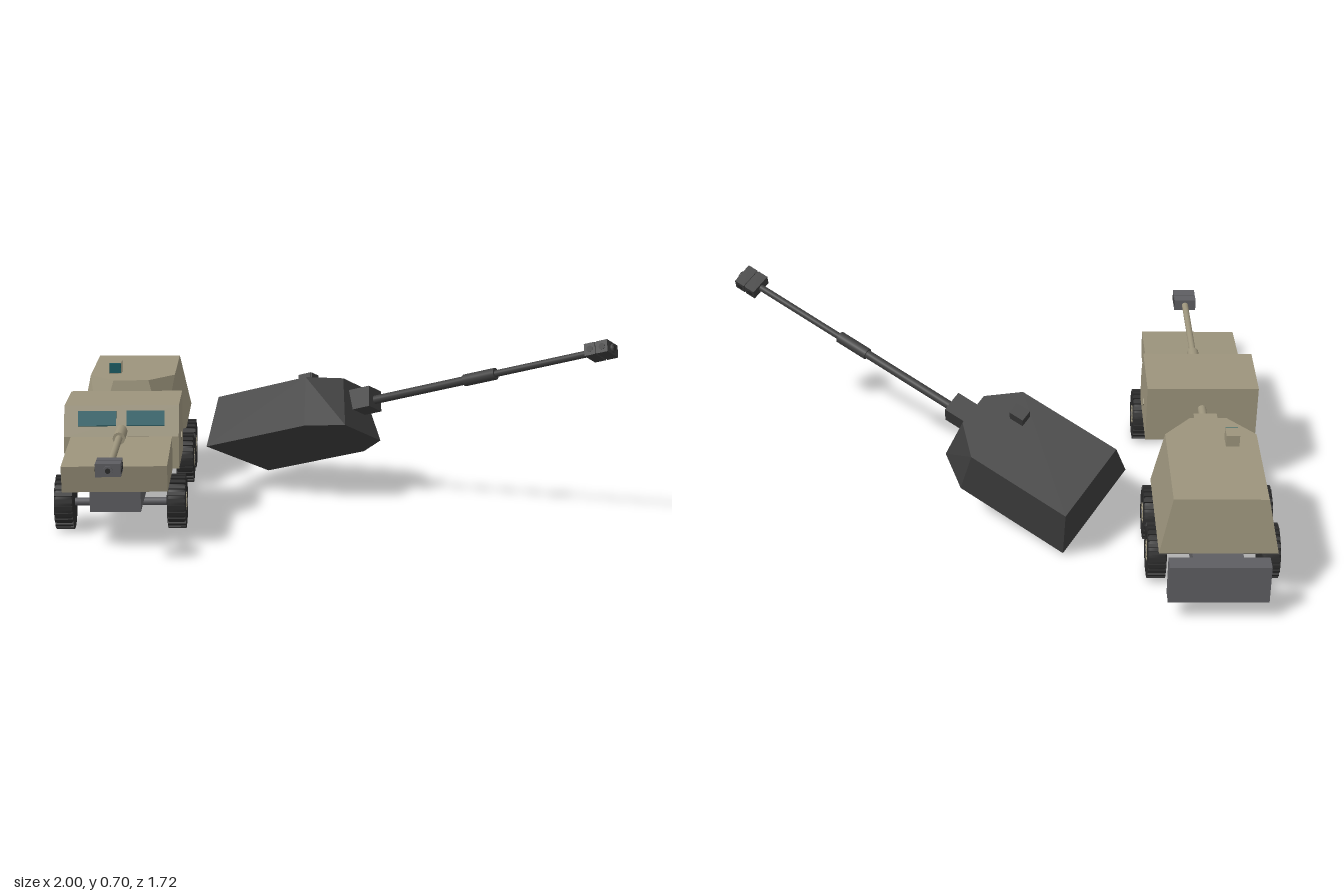
import * as THREE from 'three';
import { ConvexGeometry } from 'three/addons/geometries/ConvexGeometry.js';

const mat = (name, color, extra = {}) => {
  const m = new THREE.MeshStandardMaterial({ color, ...extra });
  m.name = name;
  return m;
};

export function createModel() {
  const tan = mat('tan paint', 0x9c947c);
  const steel = mat('grey steel', 0x5e5e62);
  const charred = mat('charred metal', 0x3e3e3e);
  const rubber = mat('black rubber', 0x2b2b2b);
  const glass = mat('teal glass', 0x1c5c64);

  const add = (parent, name, geometry, material, x = 0, y = 0, z = 0) => {
    const m = new THREE.Mesh(geometry, material);
    m.name = name;
    m.position.set(x, y, z);
    parent.add(m);
    return m;
  };
  const group = (parent, name) => {
    const g = new THREE.Group();
    g.name = name;
    parent.add(g);
    return g;
  };
  const box = (w, h, d) => new THREE.BoxGeometry(w, h, d);
  // Cylinder lying along z, or along x
  const rod = (r, len, n = 16) => new THREE.CylinderGeometry(r, r, len, n).rotateX(Math.PI / 2);
  const disc = (r, len, n = 28) => new THREE.CylinderGeometry(r, r, len, n).rotateZ(Math.PI / 2);
  // Side outline of [z, y] points, extruded across the width
  const sideExtrude = (points, width) => {
    const shape = new THREE.Shape(points.map(([z, y]) => new THREE.Vector2(z, y)));
    return new THREE.ExtrudeGeometry(shape, { depth: width, bevelEnabled: false })
      .rotateY(-Math.PI / 2).translate(width / 2, 0, 0);
  };

  // Turret with gun: origin at the middle of the bottom rear edge, gun towards +z
  const makeTurret = (name, paint, metal, lens) => {
    const t = new THREE.Group();
    t.name = name;
    const ring = (y, half, frontHalf, z0, z1, z2) => [-1, 1].flatMap((s) => [
      new THREE.Vector3(s * half, y, z0),
      new THREE.Vector3(s * half, y, z1),
      new THREE.Vector3(s * frontHalf, y, z2),
    ]);
    add(t, 'turretShell', new ConvexGeometry([
      ...ring(0, 0.206, 0.123, 0, 0.455, 0.583),
      ...ring(0.207, 0.163, 0.067, 0.025, 0.435, 0.542),
    ]), paint);
    // Gun
    const gy = 0.12;
    add(t, 'mantlet', box(0.085, 0.08, 0.13), paint, 0, gy + 0.005, 0.575);
    add(t, 'barrelBase', rod(0.016, 0.42), paint, 0, gy, 0.83);
    add(t, 'boreEvacuator', rod(0.022, 0.13), paint, 0, gy, 1.095);
    add(t, 'barrelTube', rod(0.0125, 0.4), paint, 0, gy, 1.34);
    // Two-part muzzle brake with side ports
    for (const dz of [-0.024, 0.024]) {
      add(t, 'muzzleBrake', box(0.085, 0.045, 0.042), metal, 0, gy, 1.583 + dz);
      for (const s of [-1, 1]) add(t, 'brakePort', disc(0.012, 0.004, 10), rubber, s * 0.042, gy, 1.583 + dz);
    }
    add(t, 'brakeCore', box(0.076, 0.038, 0.05), metal, 0, gy, 1.583);
    add(t, 'muzzleRing', rod(0.016, 0.012), metal, 0, gy, 1.63);
    add(t, 'bore', rod(0.009, 0.004), rubber, 0, gy, 1.6355);
    // Roof sight
    add(t, 'roofSight', box(0.048, 0.045, 0.055), paint, -0.07, 0.228, 0.383);
    add(t, 'sightLens', box(0.044, 0.038, 0.006), lens, -0.07, 0.23, 0.4125);
    return t;
  };

  // Wheel whose outer face looks towards +x
  const makeWheel = () => {
    const w = new THREE.Group();
    w.name = 'wheel';
    const tyre = [[0, -0.034], [0.082, -0.034], [0.092, -0.026], [0.092, 0.026], [0.084, 0.034], [0.06, 0.034], [0.054, 0.02], [0, 0.02]];
    add(w, 'tyre', new THREE.LatheGeometry(tyre.map(([r, x]) => new THREE.Vector2(r, x)), 32)
      .rotateZ(-Math.PI / 2), rubber);
    const lugs = 24;
    for (let i = 0; i < lugs; i++) {
      const a = (i / lugs) * Math.PI * 2;
      const lug = add(w, 'treadLug', box(0.064, 0.012, 0.013), rubber, 0, Math.cos(a) * 0.092, Math.sin(a) * 0.092);
      lug.rotation.x = a;
    }
    add(w, 'rim', disc(0.055, 0.012), tan, 0.022);
    add(w, 'rimGroove', disc(0.036, 0.004), steel, 0.0285);
    add(w, 'hub', disc(0.024, 0.01, 16), tan, 0.029);
    add(w, 'hubCap', disc(0.01, 0.006, 12), steel, 0.034);
    for (let i = 0; i < 8; i++) {
      const a = (i / 8) * Math.PI * 2;
      add(w, 'wheelBolt', disc(0.005, 0.008, 8), tan, 0.03, Math.cos(a) * 0.03, Math.sin(a) * 0.03);
    }
    return w;
  };

  const model = new THREE.Group();
  model.name = 'gunTruckWithWreckedTurret';

  // Truck chassis
  const truck = group(model, 'truck');
  truck.position.x = -0.767;
  add(truck, 'chassisRail', box(0.176, 0.073, 1.4), steel, 0, 0.168, -0.105);
  add(truck, 'rearBumper', box(0.35, 0.148, 0.06), steel, 0, 0.15, -0.83);
  add(truck, 'turretRing', new THREE.CylinderGeometry(0.085, 0.085, 0.03, 24), steel, 0, 0.212, -0.47);

  // Cab and bonnet
  add(truck, 'cab', sideExtrude([[-0.03, 0.207], [0.277, 0.207], [0.277, 0.325], [0.226, 0.43], [-0.03, 0.43]], 0.412), tan);
  add(truck, 'bonnet', sideExtrude([[0.27, 0.205], [0.603, 0.205], [0.622, 0.3], [0.27, 0.325]], 0.364), tan);
  for (const s of [-1, 1]) {
    const pane = add(truck, 'windscreen', box(0.136, 0.055, 0.009), glass, s * 0.087, 0.387, 0.252);
    pane.rotation.x = -0.45;
    const badge = add(truck, 'doorHandle', box(0.008, 0.022, 0.022), tan, s * 0.206, 0.288, 0.106);
    badge.rotation.x = Math.PI / 4;
  }

  // Three axles
  for (const z of [0.323, -0.35, -0.585]) {
    add(truck, 'axle', disc(0.014, 0.36, 10), steel, 0, 0.098, z);
    for (const s of [-1, 1]) {
      const wheel = makeWheel();
      wheel.position.set(s * 0.2, 0.098, z);
      if (s < 0) wheel.rotation.y = Math.PI;
      truck.add(wheel);
    }
  }

  const turret = makeTurret('turret', tan, steel, glass);
  turret.position.set(0, 0.223, -0.775);
  truck.add(turret);

  // Blown-off turret lying tilted beside the truck
  const wreck = makeTurret('wreckedTurret', charred, charred, charred);
  wreck.position.set(-0.361, 0.093, -0.336);
  wreck.rotation.set(-Math.PI / 6, THREE.MathUtils.degToRad(55), 0);
  model.add(wreck);

  return model;
}
